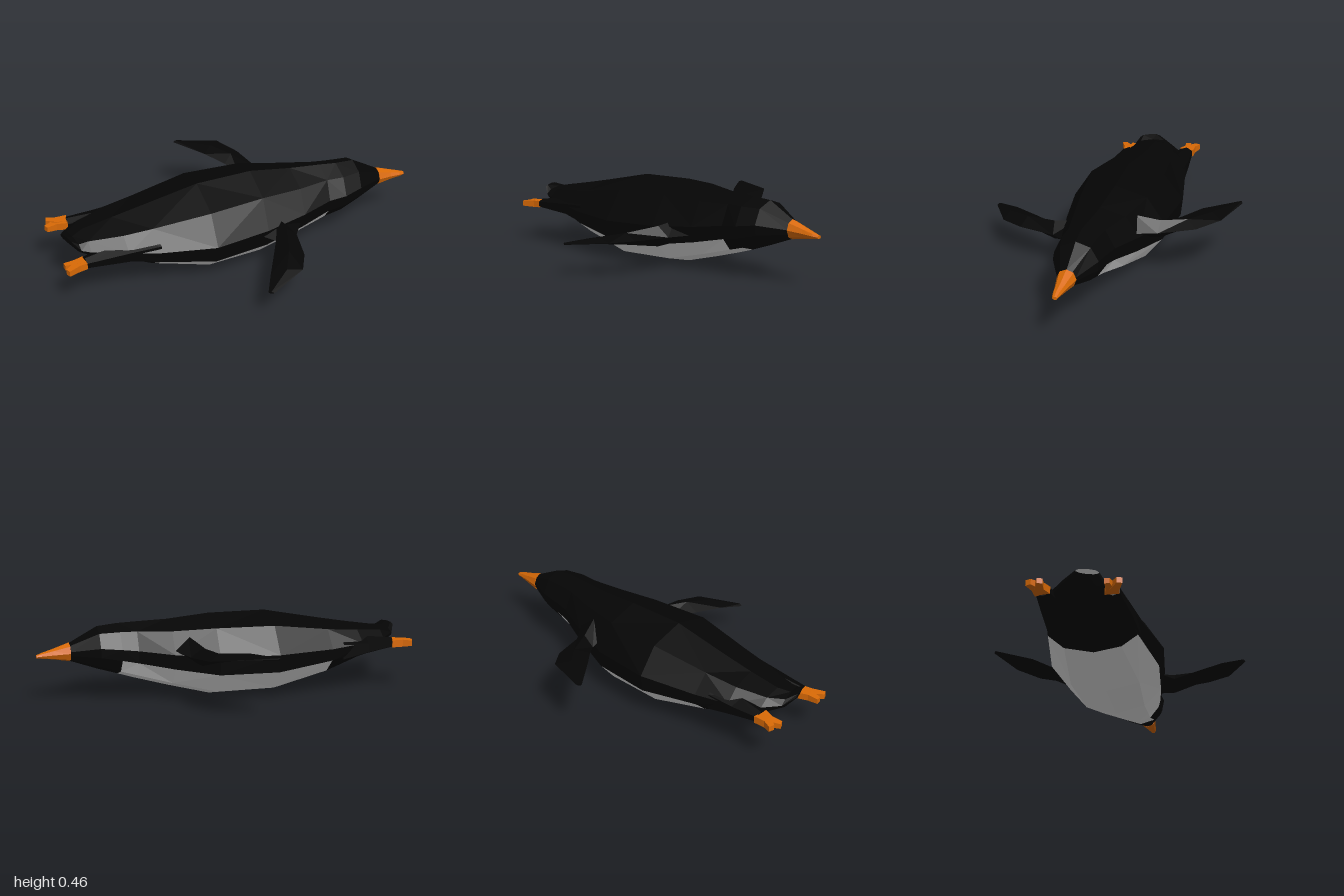
import * as THREE from 'three';

const flat = (name, color) => {
  const m = new THREE.MeshStandardMaterial({ color });
  m.name = name;
  m.flatShading = true;
  return m;
};

// Ring: [x1, z1, x2, z2, yBottom, yTop], an ellipse spanning two side points
function ringPoints([x1, z1, x2, z2, y0, y1], angles, roll) {
  const half = Math.hypot(x2 - x1, z2 - z1) / 2;
  return angles.map((deg) => {
    const a = THREE.MathUtils.degToRad(deg);
    const c = Math.cos(a), k = (1 + c) / 2;
    return new THREE.Vector3(
      x1 + (x2 - x1) * k,
      (y0 + y1) / 2 + ((y1 - y0) / 2) * Math.sin(a) - roll * half * c,
      z1 + (z2 - z1) * k
    );
  });
}

// Faceted skin through a row of rings; pick chooses which quads to keep
function loft(name, material, rings, angles, { roll = 0, pick = () => true, caps = true } = {}) {
  const rows = rings.map((r) => ringPoints(r, angles, roll));
  const n = angles.length, tris = [];
  for (let i = 0; i < rows.length - 1; i++) {
    for (let j = 0; j < n; j++) {
      if (!pick(i, j)) continue;
      const k = (j + 1) % n;
      const a = rows[i][j], b = rows[i][k], c = rows[i + 1][k], d = rows[i + 1][j];
      if ((i + j) % 2) tris.push(a, b, c, a, c, d);
      else tris.push(a, b, d, b, c, d);
    }
  }
  if (caps) {
    const first = rows[0], last = rows[rows.length - 1];
    for (let j = 1; j < n - 1; j++) {
      tris.push(first[0], first[j + 1], first[j], last[0], last[j], last[j + 1]);
    }
  }
  const geometry = new THREE.BufferGeometry().setFromPoints(tris);
  geometry.computeVertexNormals();
  const mesh = new THREE.Mesh(geometry, material);
  mesh.name = name;
  return mesh;
}

export function createModel() {
  const black = flat('black plumage', 0x050505);
  const white = flat('white belly', 0xe6e6e6);
  const orange = flat('orange skin', 0xd96a06);
  const model = new THREE.Group();
  model.name = 'penguin';

  // Body from beak base to tail, leaning across the z axis and slightly rolled
  const bodyRings = [
    [0.295, -0.845, 0.385, -0.82, 0.23, 0.33],
    [0.17, -0.735, 0.397, -0.65, 0.175, 0.412],
    [0.115, -0.635, 0.385, -0.54, 0.138, 0.42],
    [0.07, -0.56, 0.345, -0.45, 0.11, 0.425],
    [-0.07, -0.42, 0.325, -0.27, 0.06, 0.432],
    [-0.23, -0.24, 0.285, -0.03, 0.0, 0.455],
    [-0.375, 0.05, 0.215, 0.28, 0.0, 0.45],
    [-0.435, 0.37, 0.045, 0.55, 0.08, 0.385],
    [-0.47, 0.56, -0.04, 0.68, 0.15, 0.352],
    [-0.45, 0.73, -0.17, 0.83, 0.205, 0.322],
    [-0.41, 0.83, -0.2, 0.87, 0.245, 0.308],
    [-0.355, 0.89, -0.235, 0.897, 0.295, 0.325],
  ];
  const bodyAngles = [-163, -128, -90, -55, -24, 3, 47, 90, 130, 172];
  const isBelly = (i, j) => i >= (j === 3 ? 3 : 2) && i < 7 && j < 4;
  model.add(
    loft('body', black, bodyRings, bodyAngles, { roll: 0.04, pick: (i, j) => !isBelly(i, j) }),
    loft('belly', white, bodyRings, bodyAngles, { roll: 0.04, pick: isBelly, caps: false })
  );

  // Beak
  const six = [-150, -90, -30, 30, 90, 150];
  const eight = [-180, -135, -90, -45, 0, 45, 90, 135];
  model.add(loft('beak', orange, [
    [0.398, -1.0, 0.422, -0.99, 0.254, 0.272],
    [0.382, -0.975, 0.419, -0.958, 0.25, 0.283],
    [0.346, -0.925, 0.404, -0.9, 0.243, 0.302],
    [0.292, -0.848, 0.389, -0.818, 0.228, 0.332],
  ], eight));

  // Flippers, thick at the shoulder and thin at the tip
  const blade = [-180, -90, 0, 90];
  model.add(
    loft('rightFlipper', black, [
      [-0.02, -0.42, -0.1, -0.24, 0.24, 0.37],
      [-0.17, -0.393, -0.22, -0.28, 0.235, 0.335],
      [-0.37, -0.415, -0.31, -0.26, 0.285, 0.335],
      [-0.51, -0.38, -0.44, -0.22, 0.325, 0.352],
      [-0.66, -0.2, -0.655, -0.17, 0.342, 0.354],
    ], blade),
    loft('leftFlipper', black, [
      [0.2, 0.02, 0.28, -0.3, 0.14, 0.26],
      [0.34, -0.03, 0.37, -0.16, 0.135, 0.245],
      [0.45, 0.1, 0.54, -0.045, 0.16, 0.222],
      [0.55, 0.22, 0.63, 0.06, 0.172, 0.205],
      [0.635, 0.32, 0.66, 0.3, 0.164, 0.176],
    ], blade)
  );

  // Legs trail behind the body, each ending in a split foot
  const box = [-145, -35, 35, 145];
  const limbs = [
    {
      side: 'right',
      leg: [[-0.45, 0.44, -0.25, 0.52, 0.15, 0.33], [-0.495, 0.58, -0.36, 0.66, 0.2, 0.3],
        [-0.535, 0.725, -0.46, 0.765, 0.232, 0.288]],
      toes: [
        [[-0.54, 0.715, -0.475, 0.755, 0.225, 0.295], [-0.562, 0.775, -0.505, 0.8, 0.225, 0.295],
          [-0.595, 0.81, -0.565, 0.835, 0.235, 0.288]],
        [[-0.53, 0.725, -0.455, 0.765, 0.225, 0.295], [-0.55, 0.785, -0.495, 0.81, 0.222, 0.29],
          [-0.545, 0.86, -0.51, 0.86, 0.23, 0.28]],
      ],
    },
    {
      side: 'left',
      leg: [[-0.2, 0.48, 0.06, 0.53, 0.12, 0.31], [-0.19, 0.66, -0.015, 0.67, 0.175, 0.28],
        [-0.205, 0.87, -0.125, 0.89, 0.195, 0.25]],
      toes: [
        [[-0.21, 0.865, -0.14, 0.885, 0.188, 0.252], [-0.21, 0.92, -0.16, 0.93, 0.188, 0.252],
          [-0.227, 0.975, -0.195, 0.985, 0.195, 0.245]],
        [[-0.2, 0.87, -0.125, 0.89, 0.188, 0.252], [-0.195, 0.925, -0.135, 0.93, 0.186, 0.252],
          [-0.17, 1.0, -0.135, 1.0, 0.192, 0.245]],
      ],
    },
  ];
  for (const { side, leg, toes } of limbs) {
    model.add(loft(`${side}Leg`, black, leg, six));
    const foot = new THREE.Group();
    foot.name = `${side}Foot`;
    toes.forEach((rings, i) => foot.add(loft(i ? 'innerToe' : 'outerToe', orange, rings, box)));
    model.add(foot);
  }
  return model;
}
